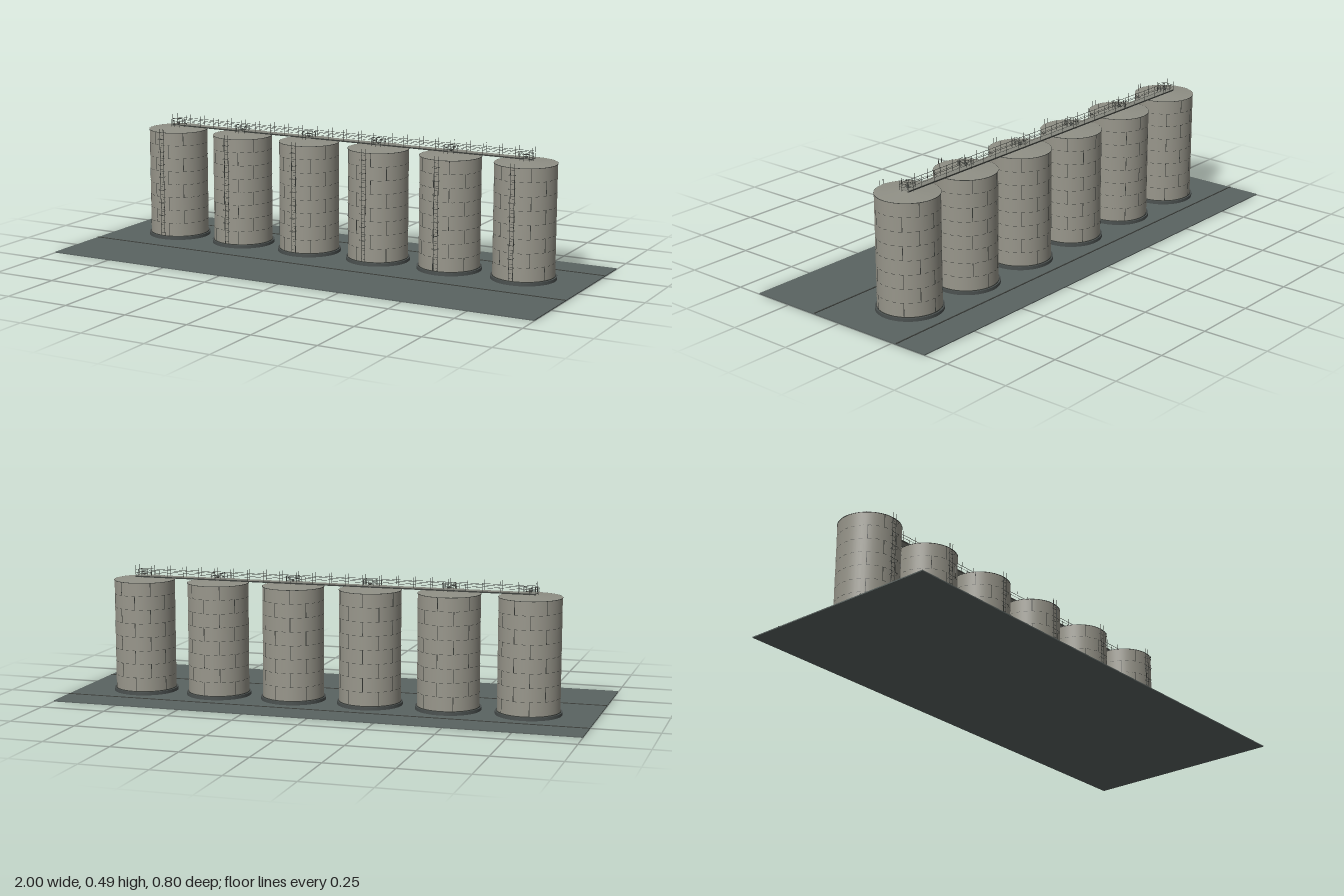
import * as THREE from 'three';

const mat = (name, color, side = THREE.FrontSide) => {
  const m = new THREE.MeshStandardMaterial({ color, side });
  m.name = name;
  return m;
};

export function createModel() {
  const concrete = mat('concrete', 0x5a6361);
  const plinthGrey = mat('plinth grey', 0x4b5150);
  const shellGrey = mat('shell grey', 0x98968b);
  const roofGrey = mat('roof grey', 0x8f8f85);
  const steel = mat('dark steel', 0x3a3d39, THREE.DoubleSide);
  const deckGrey = mat('deck grey', 0x85867d);

  const root = new THREE.Group();
  root.name = 'siloRow';

  const add = (parent, name, geo, material, x = 0, y = 0, z = 0) => {
    const m = new THREE.Mesh(geo, material);
    m.name = name;
    m.position.set(x, y, z);
    parent.add(m);
    return m;
  };
  const box = (p, name, w, h, d, material, x, y, z) =>
    add(p, name, new THREE.BoxGeometry(w, h, d), material, x, y, z);
  const cyl = (p, name, rt, rb, h, seg, material, y, open = false) =>
    add(p, name, new THREE.CylinderGeometry(rt, rb, h, seg, 1, open), material, 0, y, 0);

  // Ground slab with two drain strips
  box(root, 'slab', 2, 0.004, 0.8, concrete, 0, 0.002, 0);
  for (const z of [0.12, -0.27]) box(root, 'drainStrip', 2, 0.003, 0.005, steel, 0, 0.0045, z);

  const R = 0.115, BASE = 0.0175, TOP = 0.435, COURSES = 8;
  const courseH = (TOP - BASE) / COURSES;

  function silo(index) {
    const g = new THREE.Group();
    g.name = 'silo';

    // Plinth, shell and shallow roof
    cyl(g, 'plinth', 0.1225, 0.1225, 0.012, 48, plinthGrey, 0.01);
    cyl(g, 'footRing', 0.117, 0.117, 0.003, 48, steel, 0.0175);
    cyl(g, 'shell', R, R, TOP - 0.014, 48, shellGrey, (TOP + 0.014) / 2);
    cyl(g, 'eaveRing', 0.1165, 0.1165, 0.002, 48, steel, TOP - 0.001);
    cyl(g, 'roof', 0.012, 0.1155, 0.009, 48, roofGrey, TOP + 0.0045);

    // Ring seams and staggered plate seams
    for (let c = 0; c < COURSES; c++) {
      const y = BASE + c * courseH;
      if (c > 0) cyl(g, 'ringSeam', 0.1155, 0.1155, 0.0018, 24, steel, y, true);
      for (let k = 0; k < 6; k++) {
        const a = (k + (c % 2) * 0.5 + index * 0.17 + 0.2) * Math.PI / 3;
        if (Math.abs(Math.sin(a)) > 0.92) continue;
        const s = box(g, 'plateSeam', 0.0022, courseH, 0.001, steel,
          Math.sin(a) * R, y + courseH / 2, Math.cos(a) * R);
        s.rotation.y = a;
      }
    }

    // Front ladder with cage hoops
    for (const x of [-0.008, 0.008])
      box(g, 'ladderRail', 0.0015, 0.43, 0.0015, steel, x, 0.235, 0.1225);
    for (let i = 0; i < 24; i++)
      box(g, 'ladderRung', 0.016, 0.001, 0.001, steel, 0, 0.03 + i * 0.0172, 0.1225);
    for (let i = 0; i < 7; i++) {
      const hoop = add(g, 'cageHoop', new THREE.TorusGeometry(0.0125, 0.0007, 4, 16, Math.PI),
        steel, 0, 0.105 + i * 0.0508, 0.1225);
      hoop.rotation.x = Math.PI / 2;
      hoop.scale.y = 1.5;
      for (const x of [-0.0085, 0.0085])
        box(g, 'ladderBracket', 0.001, 0.001, 0.008, steel, x, 0.105 + i * 0.0508, 0.1185);
    }

    // Roof vent inside a round guard rail
    cyl(g, 'ventCollar', 0.012, 0.012, 0.004, 16, deckGrey, 0.446);
    cyl(g, 'ventStem', 0.004, 0.004, 0.012, 12, steel, 0.451);
    cyl(g, 'ventCap', 0.003, 0.009, 0.004, 16, steel, 0.457);
    for (const y of [0.458, 0.47]) {
      const rail = add(g, 'guardRail', new THREE.TorusGeometry(0.027, 0.0006, 4, 32), steel, 0, y, 0);
      rail.rotation.x = Math.PI / 2;
    }
    for (let i = 0; i < 8; i++) {
      const a = i * Math.PI / 4;
      box(g, 'guardPost', 0.0012, 0.031, 0.0012, steel,
        Math.sin(a) * 0.027, 0.455, Math.cos(a) * 0.027);
    }
    return g;
  }

  for (let i = 0; i < 6; i++) {
    const s = silo(i);
    s.position.set(-0.75 + i * 0.3, 0, -0.1);
    root.add(s);
  }

  // Catwalk linking the roofs, with posts and handrails
  const walk = new THREE.Group();
  walk.name = 'catwalk';
  walk.position.z = -0.1125;
  root.add(walk);
  box(walk, 'deck', 1.55, 0.003, 0.032, deckGrey, 0, 0.4495, 0);
  for (const z of [-0.0155, 0.0155]) {
    box(walk, 'deckBeam', 1.55, 0.005, 0.0015, steel, 0, 0.4475, z);
    box(walk, 'midRail', 1.55, 0.0008, 0.0008, steel, 0, 0.463, z);
    box(walk, 'handrail', 1.55, 0.0012, 0.0012, steel, 0, 0.474, z);
    for (let i = 0; i <= 24; i++)
      box(walk, 'railPost', 0.0013, 0.042, 0.0013, steel, -0.774 + i * 0.0645, 0.469, z);
  }
  return root;
}
